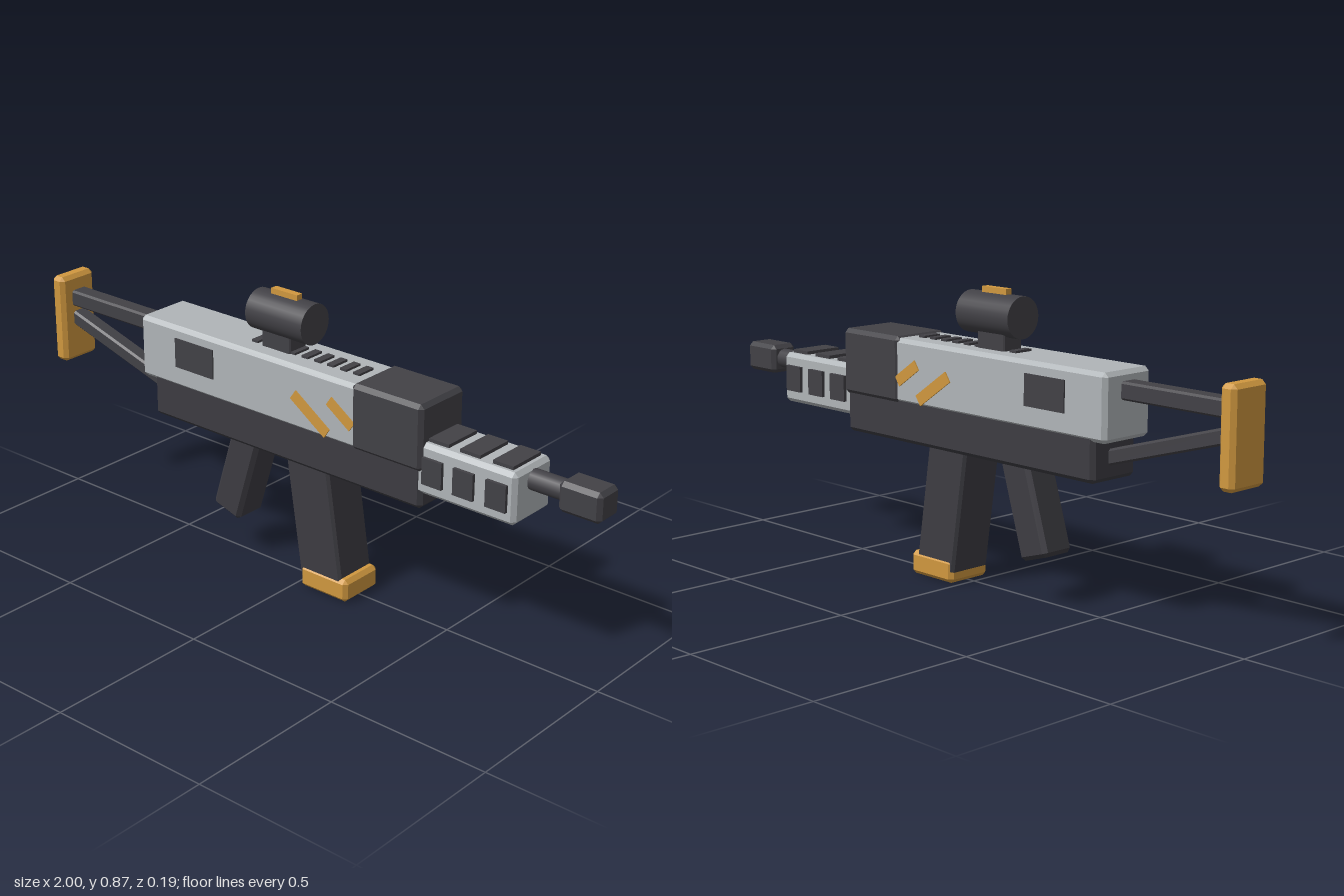
import * as THREE from 'three';
import { ConvexGeometry } from 'three/addons/geometries/ConvexGeometry.js';

const mat = (name, color) => {
  const m = new THREE.MeshStandardMaterial({ color });
  m.name = name;
  return m;
};

// Box with chamfered edges: three points per corner
function chamferBox(w, h, d, c) {
  const pts = [];
  for (const x of [-1, 1]) for (const y of [-1, 1]) for (const z of [-1, 1]) {
    const [X, Y, Z] = [w / 2, h / 2, d / 2];
    pts.push(
      new THREE.Vector3(x * X, y * (Y - c), z * (Z - c)),
      new THREE.Vector3(x * (X - c), y * Y, z * (Z - c)),
      new THREE.Vector3(x * (X - c), y * (Y - c), z * Z));
  }
  return new ConvexGeometry(pts);
}

export function createModel() {
  const light = mat('light grey shell', 0xb0b5b8);
  const dark = mat('dark grey', 0x424146);
  const frame = mat('charcoal frame', 0x3d3c42);
  const accent = mat('amber accent', 0xd0983f);

  const model = new THREE.Group();
  const add = (name, geo, material, x, y, z = 0, rot = 0) => {
    const m = new THREE.Mesh(geo, material);
    m.name = name;
    m.position.set(x, y, z);
    m.rotation.z = rot;
    model.add(m);
    return m;
  };
  // Chamfered block given by its x and y extents and half depth
  const block = (name, material, x0, x1, y0, y1, hz, c = 0.012) =>
    add(name, chamferBox(x1 - x0, y1 - y0, hz * 2, c), material, (x0 + x1) / 2, (y0 + y1) / 2);

  // Body
  block('upperReceiver', light, -0.59, 0.44, 0.505, 0.695, 0.09);
  block('lowerReceiver', frame, -0.545, 0.46, 0.39, 0.53, 0.085);
  block('frontBlock', dark, 0.22, 0.465, 0.505, 0.7, 0.095);
  block('handguard', light, 0.42, 0.765, 0.438, 0.59, 0.083);

  // Barrel and muzzle
  add('barrel', new THREE.CylinderGeometry(0.03, 0.03, 0.16, 16), dark, 0.82, 0.55).rotation.z = Math.PI / 2;
  block('muzzle', dark, 0.868, 1.0, 0.505, 0.593, 0.045);

  // Handguard panels on the sides and top
  for (const x of [0.5, 0.603, 0.709]) {
    for (const s of [-1, 1])
      add('sidePanel', new THREE.BoxGeometry(0.066, 0.078, 0.018), dark, x, 0.515, s * 0.084);
    add('topPanel', new THREE.BoxGeometry(0.066, 0.018, 0.124), dark, x, 0.591);
  }

  // Port and stripes on both sides
  for (const s of [-1, 1]) {
    add('sidePort', new THREE.BoxGeometry(0.15, 0.09, 0.008), dark, -0.37, 0.615, s * 0.09);
    add('longStripe', new THREE.BoxGeometry(0.15, 0.034, 0.008), accent, 0.073, 0.567, s * 0.09, -0.6);
    add('shortStripe', new THREE.BoxGeometry(0.1, 0.032, 0.008), accent, 0.183, 0.598, s * 0.09, -0.6);
  }

  // Vents along the top
  for (let i = 0; i < 9; i++)
    add('topVent', new THREE.BoxGeometry(0.024, 0.009, 0.06), dark, -0.187 + i * 0.0468, 0.697);

  // Sight
  block('sightMount', dark, -0.157, -0.05, 0.69, 0.76, 0.035, 0.004);
  add('sightTube', new THREE.CylinderGeometry(0.06, 0.06, 0.208, 28), dark, -0.092, 0.79).rotation.z = Math.PI / 2;
  add('sightMarker', new THREE.BoxGeometry(0.096, 0.025, 0.022), accent, -0.092, 0.853);

  // Grip and magazine
  add('grip', chamferBox(0.107, 0.36, 0.11, 0.012), frame, -0.241, 0.303, 0, -0.3);
  add('magazine', chamferBox(0.155, 0.42, 0.14, 0.008), frame, 0.063, 0.245, 0, 0.15);
  block('magazineBase', accent, 0.018, 0.192, 0, 0.07, 0.074);

  // Stock: two struts and a shoulder pad
  block('upperStrut', dark, -0.97, -0.56, 0.617, 0.667, 0.028, 0.006);
  const from = new THREE.Vector2(-0.97, 0.582), to = new THREE.Vector2(-0.5, 0.443);
  const dir = to.clone().sub(from);
  add('lowerStrut', chamferBox(dir.length(), 0.044, 0.05, 0.006), dark,
    (from.x + to.x) / 2, (from.y + to.y) / 2, 0, dir.angle());
  block('shoulderPad', accent, -1.0, -0.95, 0.44, 0.715, 0.067);

  return model;
}
